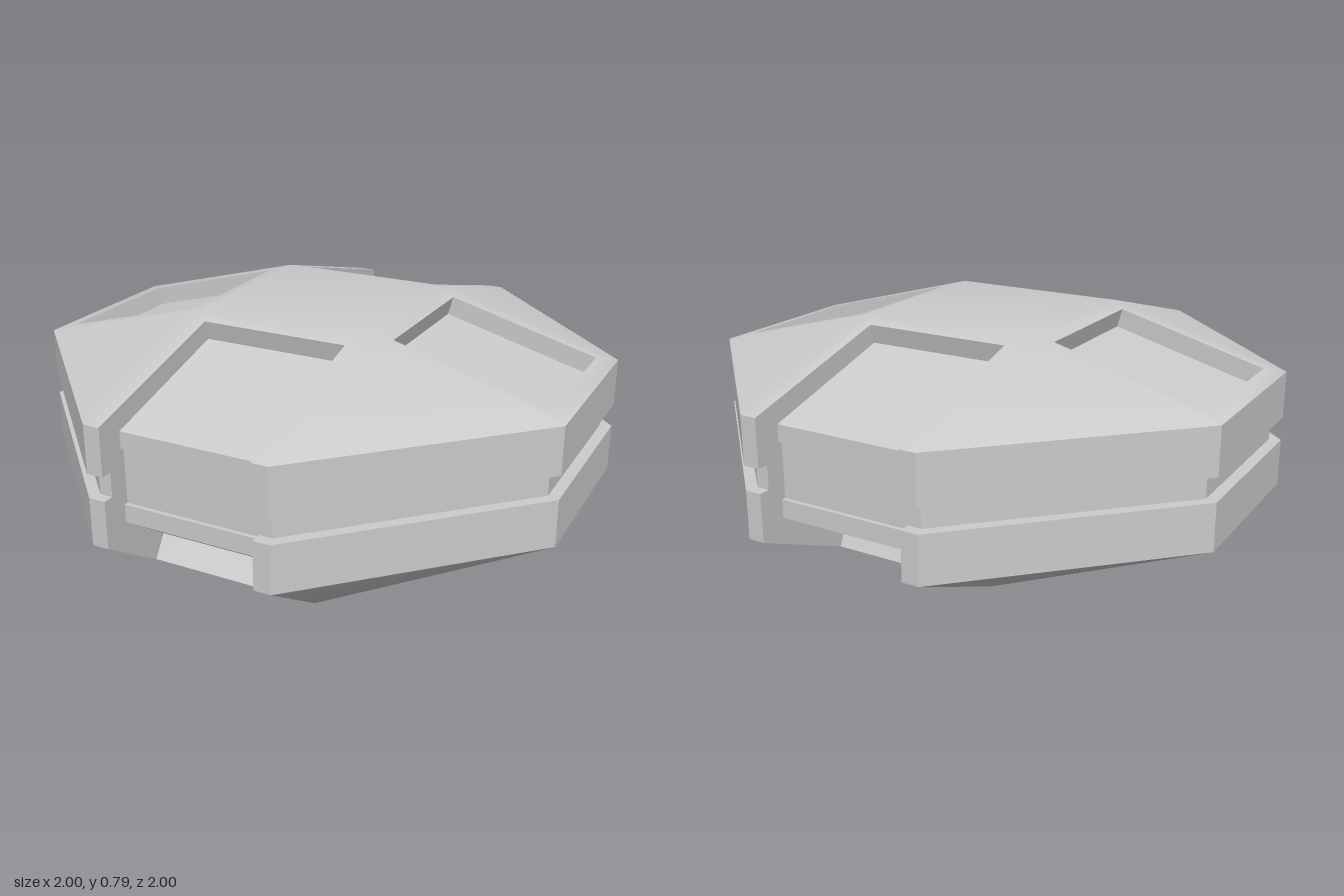
import * as THREE from 'three';
import { mergeVertices } from 'three/addons/utils/BufferGeometryUtils.js';

const C = 0.33, S = 0.27;                 // half width of the flats, half width of the slots
const RIM_TOP = 0.61, RIM_LOW = 0.185;

// surface heights of the upper and lower shells
const topY = (x, z) => 0.79 - 0.18 * Math.max(0, Math.abs(x) - C, Math.abs(z) - C) / 0.67;
const lowY = (x, z) => RIM_LOW * Math.max(0, (Math.abs(x) - C) / 0.67, (z - 0.72) / 0.28, (-z - 0.58) / 0.42);

const material = new THREE.MeshStandardMaterial({ color: 0xcccccc, side: THREE.DoubleSide });

function makeMesh(name, triangles, smooth = false) {
  let geo = new THREE.BufferGeometry();
  geo.setAttribute('position', new THREE.Float32BufferAttribute(triangles.flat(2), 3));
  if (smooth) geo = mergeVertices(geo, 1e-4);
  geo.computeVertexNormals();
  const mesh = new THREE.Mesh(geo, material);
  mesh.name = name;
  return mesh;
}

const quad = (out, a, b, c, d) => out.push([a, b, c], [a, c, d]);

// fill a 2D outline (with holes) and place its points with a mapping;
// "facing" is the direction the front should look
function fill(out, outline, holes, place, facing) {
  const v = (list) => list.map(([a, b]) => new THREE.Vector2(a, b));
  const contour = v(outline), gaps = holes.map(v);
  if (THREE.ShapeUtils.isClockWise(contour)) contour.reverse();
  gaps.forEach((g) => { if (!THREE.ShapeUtils.isClockWise(g)) g.reverse(); });
  const pts = [contour, ...gaps].flat();
  for (const f of THREE.ShapeUtils.triangulateShape(contour, gaps)) {
    const t = f.map((i) => place(pts[i].x, pts[i].y));
    const [a, b, c] = t.map((p) => new THREE.Vector3(...p));
    const n = b.sub(a).cross(c.sub(a));
    out.push(n.dot(facing) < 0 ? [t[0], t[2], t[1]] : t);
  }
}

// one shell: plateau, four sloping panels and four corner triangles
function shell(name, heightAt, zFront, zBack, notchFront, notchBack, hole, up) {
  const tris = [];
  const facing = new THREE.Vector3(0, up, 0);
  const add = (outline, holes = []) => fill(tris, outline, holes, (x, z) => [x, heightAt(x, z), z], facing);
  add([[-C, zBack], [C, zBack], [C, zFront], [-C, zFront]]);
  for (const [s, inner, notch] of [[1, zFront, notchFront], [-1, zBack, notchBack]]) {
    add([[-C, inner], [C, inner], [C, s], [S, s], [S, notch], [-S, notch], [-S, s], [-C, s]]);
    for (const m of [1, -1]) add([[m * C, inner], [m, s * C], [m * C, s]]);
  }
  for (const m of [1, -1]) {
    add([[m * C, zBack], [m * C, zFront], [m, C], [m, -C]], [hole.map(([x, z]) => [m * x, z])]);
  }
  return makeMesh(name, tris, true);
}

// sunken pocket in a side panel, pushed in along the panel's normal
function pocket(name, hole, heightAt, m, up) {
  const tris = [];
  const ring = hole.map(([x, z]) => [m * x, heightAt(x, z), z]);
  const depth = 0.07;
  const floor = ring.map(([x, y, z]) => [x - m * 0.26 * depth, y - up * 0.966 * depth, z]);
  const [a, b, c, d] = m * up > 0 ? floor : [...floor].reverse();
  quad(tris, a, b, c, d);
  ring.forEach((p, i) => {
    const j = (i + 1) % 4;
    if (m * up > 0) quad(tris, p, ring[j], floor[j], floor[i]);
    else quad(tris, ring[j], p, floor[i], floor[j]);
  });
  return makeMesh(name, tris);
}

// slot in the front or back: stepped inner wall and two cheeks
function slot(name, s, lowerMouth, lowerInner) {
  const tris = [];
  const inner = [
    [0.39, topY(0, 0.39)], [0.372, 0.705], [0.9, 0.56], [0.9, 0.5], [0.885, 0.5],
    [0.885, 0.3], [0.9, 0.3], [0.9, 0.235], lowerInner, [lowerMouth, lowY(0, s * lowerMouth)],
  ];
  const outer = [
    [1, RIM_LOW], [1, 0.355], [0.96, 0.355], [0.96, 0.44], [1, 0.44], [1, RIM_TOP],
  ];
  for (let i = 0; i < inner.length - 1; i++) {
    const [z0, y0] = inner[i], [z1, y1] = inner[i + 1];
    quad(tris, [-s * S, y0, s * z0], [-s * S, y1, s * z1], [s * S, y1, s * z1], [s * S, y0, s * z0]);
  }
  for (const m of [1, -1]) {
    fill(tris, [...inner, ...outer], [], (z, y) => [m * S, y, s * z], new THREE.Vector3(-m, 0, 0));
  }
  return makeMesh(name, tris);
}

// half of the rim: two flanges with a groove between them
function rim(name, m) {
  const tris = [];
  const plan = [[S, 1], [C, 1], [1, C], [1, -C], [C, -1], [S, -1]];
  const profile = [[1, RIM_TOP], [1, 0.44], [0.96, 0.44], [0.96, 0.355], [1, 0.355], [1, RIM_LOW]];
  const at = ([x, z], [k, y]) => [m * (x === S ? S : x * k), y, z * k];
  for (let i = 0; i < plan.length - 1; i++) {
    for (let j = 0; j < profile.length - 1; j++) {
      const q = [at(plan[i], profile[j]), at(plan[i], profile[j + 1]),
        at(plan[i + 1], profile[j + 1]), at(plan[i + 1], profile[j])];
      if (m < 0) q.reverse();
      quad(tris, ...q);
    }
  }
  return makeMesh(name, tris);
}

export function createModel() {
  const group = new THREE.Group();
  group.name = 'octagonalPod';

  // pocket outlines in plan: square above, tapered below
  const topHole = [[0.39, S], [0.935, S], [0.935, -S], [0.39, -S]];
  const lowHole = [[0.39, 0.47], [0.945, S], [0.945, -S], [0.39, -0.47]];

  group.add(shell('upperShell', topY, C, -C, 0.39, -0.39, topHole, 1));
  group.add(shell('lowerShell', lowY, 0.72, -0.58, 0.75, -0.61, lowHole, -1));

  for (const [side, m] of [['left', 1], ['right', -1]]) {
    group.add(rim(side + 'Rim', m));
    group.add(pocket(side + 'UpperPocket', topHole, topY, m, 1));
    group.add(pocket(side + 'LowerPocket', lowHole, lowY, m, -1));
  }

  group.add(slot('frontSlot', 1, 0.75, [0.7, 0.097]));
  group.add(slot('backSlot', -1, 0.61, [0.58, 0.088]));
  return group;
}
